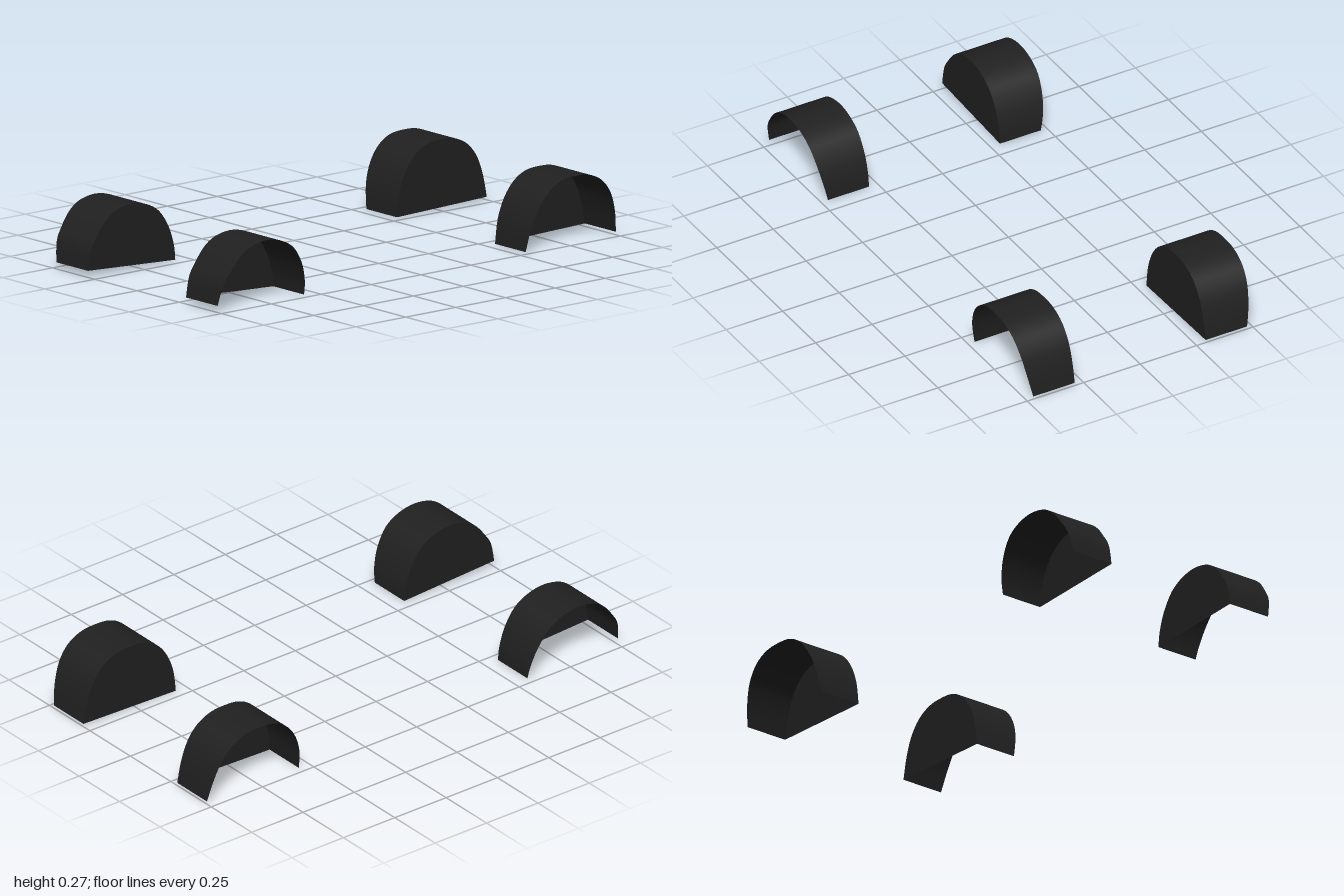
import * as THREE from 'three';

const WALL_Z = 0.29; // closed inner side
const LIP_Z = 0.508; // open outer side, at the crown

// Arch outlines in x, y
const rightOutline = [
  [-1, 0.03], [-0.985, 0.11], [-0.953, 0.163], [-0.91, 0.215], [-0.857, 0.248], [-0.782, 0.261],
  [-0.708, 0.248], [-0.643, 0.211], [-0.595, 0.142], [-0.569, 0.067], [-0.562, 0.007],
];
const leftOutline = [
  [0.55, 0.004], [0.563, 0.099], [0.595, 0.179], [0.643, 0.238], [0.702, 0.27], [0.772, 0.277],
  [0.841, 0.27], [0.905, 0.238], [0.953, 0.179], [0.983, 0.099], [1, 0.016],
];

const material = new THREE.MeshStandardMaterial({ color: 0x202020, side: THREE.DoubleSide });

// The outer lip sweeps inward toward the bottom of the arch
function lipZ(y, top) {
  return LIP_Z - 0.038 * Math.pow(Math.max(0, 1 - y / top), 1.6);
}

// Curved band running over the wheel, from inner wall to outer lip
function bandGeometry(points) {
  const top = Math.max(...points.map((p) => p.y));
  const steps = 4;
  const geometry = new THREE.PlaneGeometry(1, 1, points.length - 1, steps);
  const pos = geometry.attributes.position;
  for (let j = 0; j <= steps; j++) {
    points.forEach((p, i) => {
      const z = THREE.MathUtils.lerp(lipZ(p.y, top), WALL_Z, j / steps);
      pos.setXYZ(j * points.length + i, p.x, p.y, z);
    });
  }
  geometry.computeVertexNormals();
  return geometry;
}

function wheelArchLiner(name, outline, side) {
  const points = new THREE.SplineCurve(outline.map(([x, y]) => new THREE.Vector2(x, y))).getPoints(40);
  const liner = new THREE.Group();
  liner.name = name;

  const band = new THREE.Mesh(bandGeometry(points), material);
  band.name = 'archBand';

  // Flat wall closing the inner side
  const wall = new THREE.Mesh(new THREE.ShapeGeometry(new THREE.Shape(points)), material);
  wall.name = 'innerWall';
  wall.position.z = WALL_Z;

  liner.add(band, wall);
  liner.scale.z = side;
  return liner;
}

export function createModel() {
  const model = new THREE.Group();
  model.name = 'wheelArchLiners';
  for (const [end, side] of [['Front', 1], ['Back', -1]]) {
    model.add(wheelArchLiner('right' + end + 'Liner', rightOutline, side));
    model.add(wheelArchLiner('left' + end + 'Liner', leftOutline, side));
  }
  return model;
}
